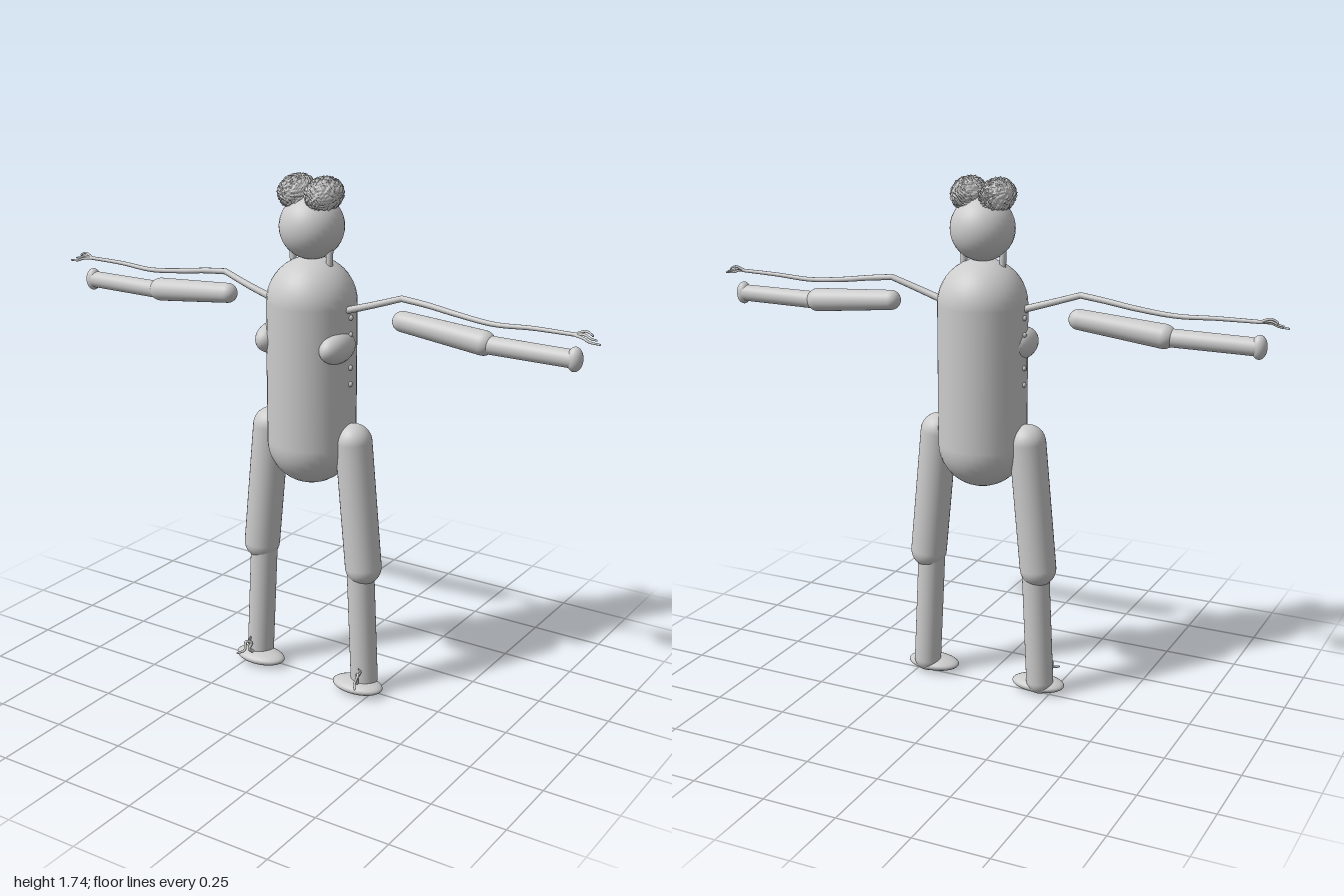
import * as THREE from 'three';

const grey = new THREE.MeshStandardMaterial({ color: 0xcccccc });
const V = (x, y, z) => new THREE.Vector3(x, y, z);

function addMesh(parent, name, geometry) {
  const mesh = new THREE.Mesh(geometry, grey);
  mesh.name = name;
  parent.add(mesh);
  return mesh;
}

// Round-ended limb between two end-sphere centres, with a radius at each end
function limb(parent, name, a, b, ra, rb) {
  const length = a.distanceTo(b);
  const profile = [];
  for (let i = 0; i <= 10; i++) {
    const t = (i / 10) * Math.PI / 2;
    profile.push(new THREE.Vector2(ra * Math.sin(t), -ra * Math.cos(t)));
  }
  for (let i = 0; i <= 10; i++) {
    const t = (i / 10) * Math.PI / 2;
    profile.push(new THREE.Vector2(rb * Math.cos(t), length + rb * Math.sin(t)));
  }
  const mesh = addMesh(parent, name, new THREE.LatheGeometry(profile, 32));
  mesh.position.copy(a);
  mesh.quaternion.setFromUnitVectors(V(0, 1, 0), b.clone().sub(a).normalize());
  return mesh;
}

function ellipsoid(parent, name, centre, radii) {
  const mesh = addMesh(parent, name, new THREE.SphereGeometry(1, 32, 20));
  mesh.position.copy(centre);
  mesh.scale.copy(radii);
  return mesh;
}

// Tube that narrows from r0 to r1 along its path, closed by a ball at each end
function strand(parent, name, points, r0, r1) {
  const curve = new THREE.CatmullRomCurve3(points);
  const segments = points.length * 8, sides = 10;
  const geometry = new THREE.TubeGeometry(curve, segments, 1, sides);
  const p = geometry.attributes.position, v = V(0, 0, 0);
  for (let i = 0; i < p.count; i++) {
    const t = Math.floor(i / (sides + 1)) / segments;
    const c = curve.getPointAt(t);
    v.fromBufferAttribute(p, i).sub(c).multiplyScalar(r0 + (r1 - r0) * t).add(c);
    p.setXYZ(i, v.x, v.y, v.z);
  }
  addMesh(parent, name, geometry);
  [[points[0], r0], [points[points.length - 1], r1]].forEach(([c, r]) => {
    const cap = addMesh(parent, name + 'End', new THREE.SphereGeometry(r, 10, 8));
    cap.position.copy(c);
  });
}

// One half of the wrinkled cap: an ellipsoid with winding ridges and fine grain
function wrinkledHalf(parent, s) {
  const geometry = new THREE.SphereGeometry(1, 110, 72);
  const p = geometry.attributes.position, v = V(0, 0, 0);
  for (let i = 0; i < p.count; i++) {
    v.fromBufferAttribute(p, i);
    const { x, y, z } = v;
    const fold = Math.sin(9 * x + 3 * Math.sin(5 * y + 4 * z))
      * Math.sin(10 * z + 3 * Math.sin(6 * x - 4 * y) + 1.3);
    const grain = Math.sin(31 * x + 4 * z) * Math.sin(29 * y) * Math.sin(33 * z + 5 * y);
    v.multiplyScalar(0.96 + 0.1 * (Math.abs(fold) ** 0.5 - 0.5) + 0.05 * grain);
    p.setXYZ(i, s * (v.x * 0.054 + 0.05), v.y * 0.056 + 1.695, v.z * 0.084 + 0.006);
  }
  if (s < 0) {
    // Mirrored half: swap corners so faces still point outward
    const index = geometry.index.array;
    for (let i = 0; i < index.length; i += 3) [index[i], index[i + 1]] = [index[i + 1], index[i]];
  }
  geometry.computeVertexNormals();
  addMesh(parent, s > 0 ? 'leftHairHalf' : 'rightHairHalf', geometry);
}

function buildSide(s) {
  const side = new THREE.Group();
  side.name = s > 0 ? 'leftSide' : 'rightSide';
  const P = (x, y, z) => V(s * x, y, z);

  // Floating arm
  limb(side, 'upperArm', P(0.335, 1.325, -0.002), P(0.615, 1.3, -0.002), 0.033, 0.039);
  limb(side, 'forearm', P(0.62, 1.297, 0), P(0.905, 1.297, 0), 0.029, 0.028);
  ellipsoid(side, 'hand', P(0.915, 1.297, 0), V(0.024, 0.038, 0.028));

  // Thin arm above it, with splayed finger tips
  strand(side, 'thinShoulder', [P(0.12, 1.33, 0.012), P(0.23, 1.365, 0.014), P(0.335, 1.4, 0.008)], 0.012, 0.01);
  strand(side, 'thinArm', [P(0.335, 1.4, 0.008), P(0.42, 1.391, 0.003), P(0.52, 1.377, 0.002),
    P(0.65, 1.365, 0.006), P(0.78, 1.371, 0.003), P(0.92, 1.373, 0.006)], 0.01, 0.006);
  [[1.358, 0.018], [1.366, 0.008], [1.375, 0.0]].forEach(([y, z], i) =>
    strand(side, 'thinFinger', [P(0.91, 1.372, 0.006), P(0.945, y + 0.011, z),
      P(0.965, y + 0.003, z + 0.002), P(0.997 - 0.015 * i, y, z)], 0.005, 0.003));

  // Leg and foot
  limb(side, 'thigh', P(0.162, 0.897, 0), P(0.204, 0.465, 0), 0.061, 0.061);
  limb(side, 'shin', P(0.194, 0.46, 0.002), P(0.214, 0.056, 0.002), 0.046, 0.046);
  ellipsoid(side, 'foot', P(0.2, 0.035, 0.022), V(0.093, 0.024, 0.058));
  strand(side, 'footCurl', [P(0.212, 0.05, 0.045), P(0.222, 0.07, 0.062), P(0.218, 0.09, 0.055),
    P(0.23, 0.098, 0.07), P(0.226, 0.072, 0.085), P(0.24, 0.066, 0.107)], 0.006, 0.004);
  strand(side, 'footCurlBranch', [P(0.22, 0.085, 0.057), P(0.227, 0.1, 0.05), P(0.222, 0.11, 0.052)], 0.005, 0.003);

  // Chest bulge, side studs and neck cord
  ellipsoid(side, 'chestBulge', P(0.122, 1.218, 0.04), V(0.046, 0.052, 0.083));
  for (const y of [1.09, 1.145, 1.2, 1.255, 1.31]) {
    ellipsoid(side, 'sideStud', P(0.146, y, 0), V(0.009, 0.009, 0.009));
  }
  limb(side, 'neckCord', P(0.068, 1.46, 0.004), P(0.07, 1.515, 0.004), 0.011, 0.011);
  return side;
}

export function createModel() {
  const model = new THREE.Group();
  model.name = 'figure';
  limb(model, 'torso', V(0, 0.879, 0), V(0, 1.345, 0), 0.147, 0.147);
  ellipsoid(model, 'head', V(0, 1.588, 0), V(0.105, 0.105, 0.105));
  for (const s of [1, -1]) {
    wrinkledHalf(model, s);
    model.add(buildSide(s));
  }
  return model;
}
